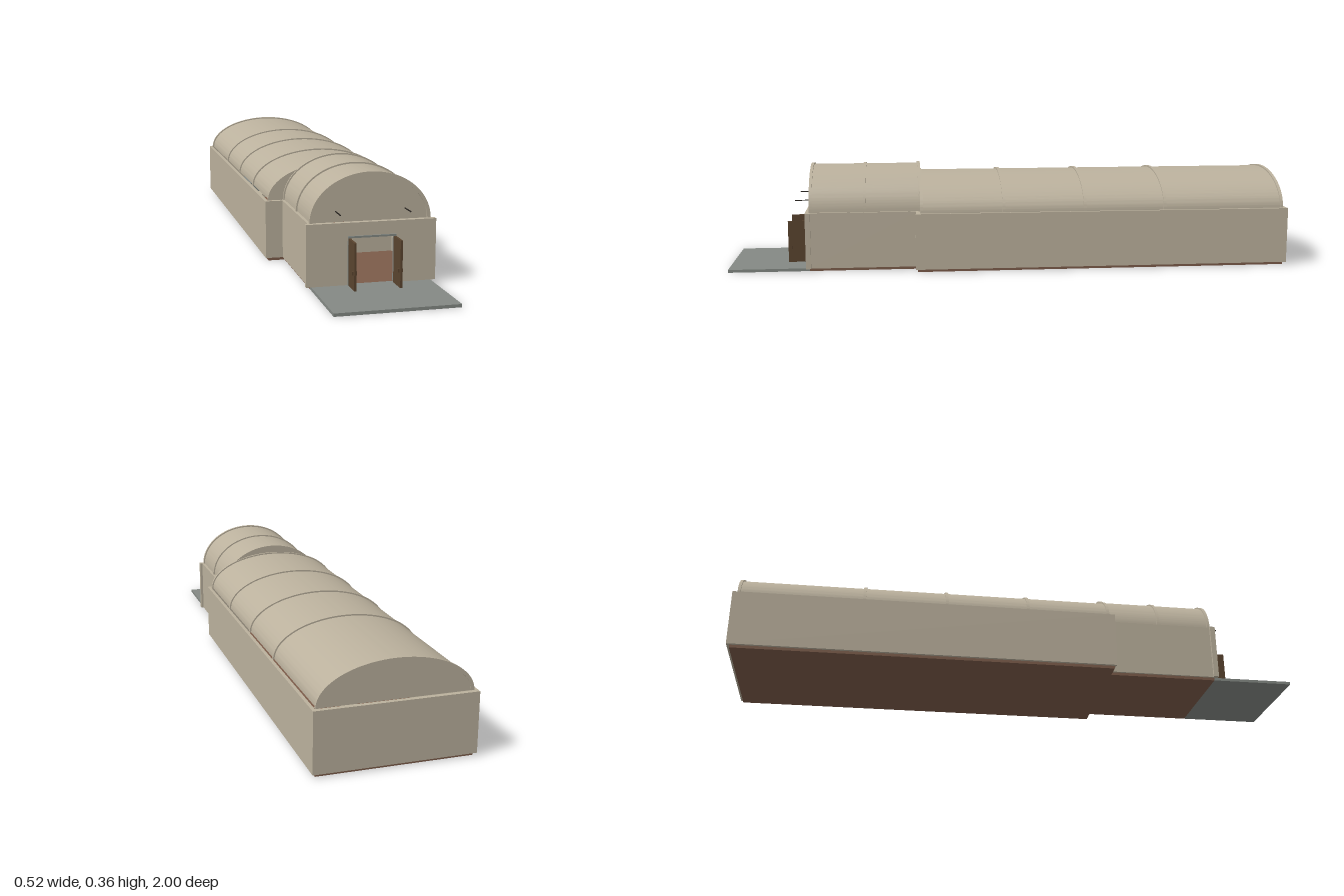
import * as THREE from 'three';
import { toCreasedNormals } from 'three/addons/utils/BufferGeometryUtils.js';

const material = (name, color) => {
  const m = new THREE.MeshStandardMaterial({ color });
  m.name = name;
  return m;
};

export function createModel() {
  const stone = material('stone', 0xbbb19d);
  const paving = material('paving', 0x848984);
  const floorBrown = material('floorBrown', 0x7c5c4a);
  const wood = material('doorWood', 0x5a442f);
  const iron = material('darkIron', 0x2b2723);

  const FLOOR = 0.01, SPRING = 0.208;
  const model = new THREE.Group();
  model.name = 'vaultedHall';

  const add = (name, geometry, mat, parent = model) => {
    const mesh = new THREE.Mesh(geometry, mat);
    mesh.name = name;
    parent.add(mesh);
    return mesh;
  };
  // Box given by its limits on each axis
  const box = (name, mat, [x0, x1], [y0, y1], [z0, z1], parent) => {
    const mesh = add(name, new THREE.BoxGeometry(x1 - x0, y1 - y0, z1 - z0), mat, parent);
    mesh.position.set((x0 + x1) / 2, (y0 + y1) / 2, (z0 + z1) / 2);
    return mesh;
  };
  const extrude = (name, shape, z0, z1, mat, parent) => {
    const solid = new THREE.ExtrudeGeometry(shape, { depth: z1 - z0, bevelEnabled: false, curveSegments: 48 });
    const mesh = add(name, toCreasedNormals(solid, 0.5), mat, parent);
    mesh.position.z = z0;
    return mesh;
  };

  // Half-elliptical band used for vault shells and ribs
  const arch = (w, h, t) => {
    const s = new THREE.Shape();
    s.moveTo(w, SPRING);
    s.absellipse(0, SPRING, w, h, 0, Math.PI, false);
    s.lineTo(-w + t, SPRING);
    s.absellipse(0, SPRING, w - t, h - t, Math.PI, 0, true);
    s.closePath();
    return s;
  };
  const lunette = (w, h) => {
    const s = new THREE.Shape();
    s.moveTo(w, SPRING);
    s.absellipse(0, SPRING, w, h, 0, Math.PI, false);
    s.closePath();
    return s;
  };
  // Wall with a doorway open at floor level
  const doorWall = (w, doorW, doorTop) => new THREE.Shape([
    [-w, FLOOR], [-doorW, FLOOR], [-doorW, doorTop], [doorW, doorTop],
    [doorW, FLOOR], [w, FLOOR], [w, SPRING], [-w, SPRING],
  ].map(([x, y]) => new THREE.Vector2(x, y)));

  // Floors and forecourt
  box('hallFloor', floorBrown, [-0.25, 0.25], [0, FLOOR], [-0.99, 0.335]);
  box('porchFloor', floorBrown, [-0.194, 0.194], [0, FLOOR], [0.335, 0.715]);
  box('forecourt', paving, [-0.194, 0.194], [0, FLOOR], [0.715, 1]);

  // Walls
  const walls = new THREE.Group();
  walls.name = 'walls';
  model.add(walls);
  for (const s of [-1, 1]) {
    const span = (a, b) => (s > 0 ? [a, b] : [-b, -a]);
    box('hallSideWall', stone, span(0.249, 0.26), [FLOOR, SPRING], [-1, 0.342], walls);
    box('porchSideWall', stone, span(0.19, 0.201), [FLOOR, SPRING], [0.335, 0.715], walls);
  }
  box('hallBackWall', stone, [-0.25, 0.25], [FLOOR, SPRING], [-1, -0.985], walls);
  extrude('hallFrontWall', doorWall(0.25, 0.05, 0.168), 0.325, 0.34, stone, walls);
  extrude('porchFrontWall', doorWall(0.21, 0.075, 0.162), 0.71, 0.728, stone, walls);

  // Vaults, gables and ribs
  const vault = (name, w, h, z0, z1, ribs) => {
    const g = new THREE.Group();
    g.name = name;
    model.add(g);
    extrude('shell', arch(w, h, 0.006), z0, z1, stone, g);
    for (const z of [z0 + 0.002, z1 - 0.007])
      extrude('gable', lunette(w - 0.003, h - 0.003), z, z + 0.005, stone, g);
    for (const z of ribs) extrude('rib', arch(w + 0.005, h + 0.005, 0.011), z - 0.005, z + 0.005, stone, g);
  };
  vault('hallVault', 0.243, 0.123, -0.985, 0.325, [-0.98, -0.55, -0.26, 0.03, 0.32]);
  vault('porchVault', 0.191, 0.15, 0.32, 0.711, [0.325, 0.52, 0.709]);

  // Doorway with two leaves standing open
  const doorway = new THREE.Group();
  doorway.name = 'doorway';
  model.add(doorway);
  box('lintel', paving, [-0.078, 0.078], [0.16, 0.166], [0.708, 0.734], doorway);
  for (const s of [-1, 1]) {
    const span = (a, b) => (s > 0 ? [a, b] : [-b, -a]);
    box('jamb', paving, span(0.074, 0.078), [FLOOR, 0.16], [0.708, 0.734], doorway);
    box('doorLeaf', wood, span(0.07, 0.077), [FLOOR, 0.16], [0.73, 0.8], doorway);
    box('doorHandle', wood, span(0.065, 0.081), [0.057, 0.069], [0.785, 0.79], doorway);
    // Slim brackets on the front gable
    box('gableBracket', iron, span(0.111, 0.114), [0.24, 0.243], [0.705, 0.768]);
  }

  // Furnishings inside the hall
  const table = new THREE.Group();
  table.name = 'stoneTable';
  model.add(table);
  box('tableBase', stone, [-0.032, 0.032], [FLOOR, 0.013], [-0.63, -0.55], table);
  box('tableBody', stone, [-0.02, 0.02], [0.013, 0.03], [-0.62, -0.56], table);
  box('tableTop', stone, [-0.025, 0.025], [0.03, 0.035], [-0.625, -0.555], table);
  box('daisStep', stone, [-0.15, 0.15], [FLOOR, 0.024], [-0.97, -0.72]);
  box('daisBlock', paving, [-0.15, 0.15], [0.024, 0.062], [-0.97, -0.8]);

  return model;
}
